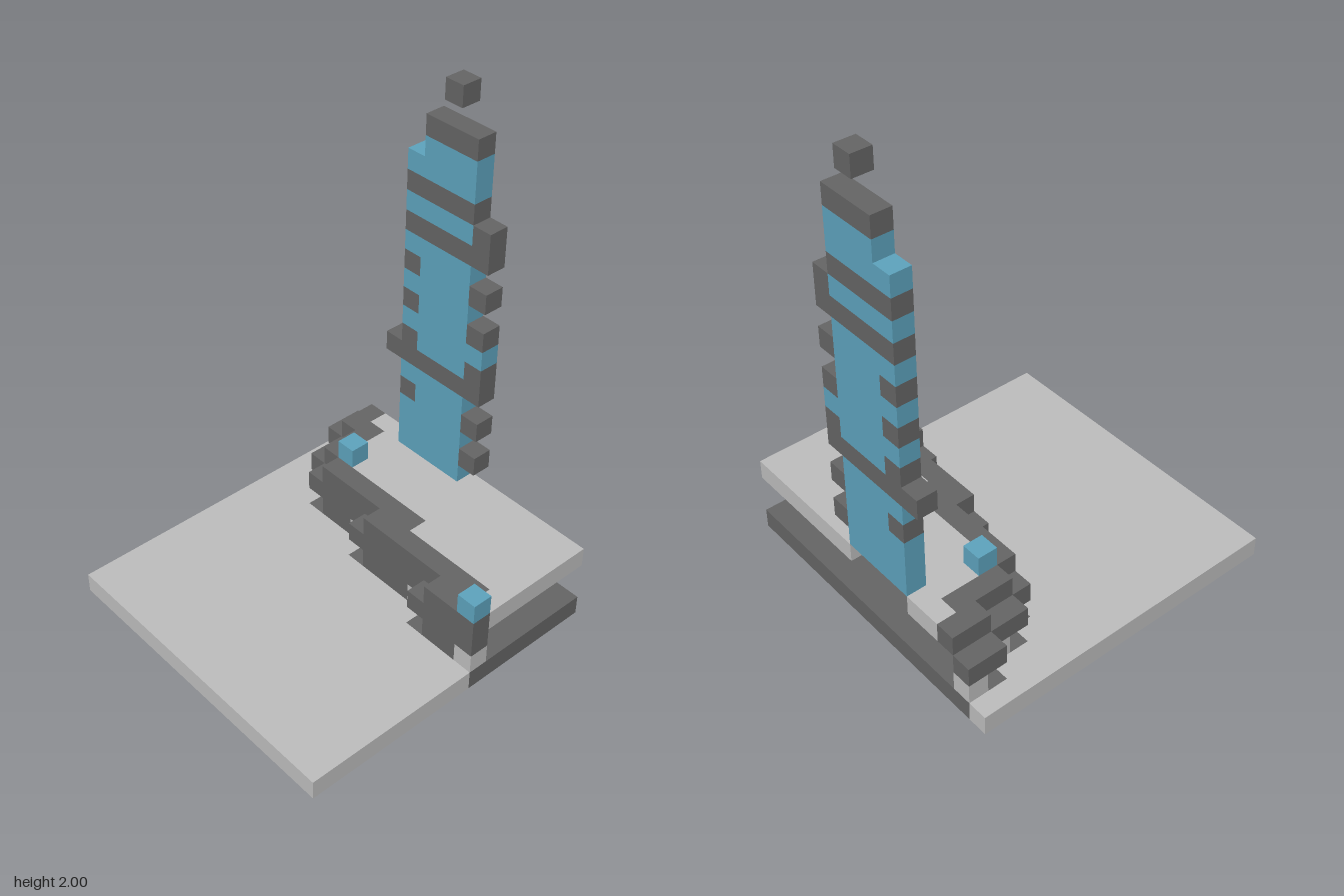
import * as THREE from 'three';

const U = 1 / 12; // size of one block

export function createModel() {
  const model = new THREE.Group();
  const light = new THREE.MeshStandardMaterial({ color: 0xbfbfbf });
  const dark = new THREE.MeshStandardMaterial({ color: 0x666666 });
  const blue = new THREE.MeshStandardMaterial({ color: 0x5ea4be });
  light.name = 'light grey';
  dark.name = 'dark grey';
  blue.name = 'blue';

  const part = (name) => {
    const g = new THREE.Group();
    g.name = name;
    model.add(g);
    return g;
  };
  // Box covering block columns x0..x1, layers y0..y1 and rows z0..z1
  const block = (group, name, mat, x0, x1, y0, y1, z0, z1) => {
    if (x1 <= x0) return;
    const geo = new THREE.BoxGeometry((x1 - x0) * U, (y1 - y0) * U, (z1 - z0) * U);
    const mesh = new THREE.Mesh(geo, mat);
    mesh.position.set(((x0 + x1) / 2 - 8) * U, ((y0 + y1) / 2) * U, ((z0 + z1) / 2 - 8) * U);
    mesh.name = name;
    group.add(mesh);
  };

  // Base slab: pale ground with a dark stepped floor at the back
  const base = part('base');
  block(base, 'ground', light, 0, 16, 0, 1, 7, 16);
  for (const [z0, z1, start] of [[0, 2, 1], [2, 4, 2], [4, 5, 3], [5, 6, 7], [6, 7, 12]]) {
    block(base, 'ground', light, 0, start, 0, 1, z0, z1);
    block(base, 'floor', dark, start, 16, 0, 1, z0, z1);
  }

  // Lower wall: dark piers and pale windows, stepping forward to the left
  const lower = part('lowerWall');
  for (const [mat, row, x0, x1] of [
    [light, 0, 1, 2], [dark, 1, 2, 3], [light, 2, 2, 3], [dark, 3, 3, 4],
    [dark, 4, 4, 6], [light, 4, 6, 8], [dark, 5, 8, 11], [light, 5, 11, 13],
    [dark, 6, 13, 15], [light, 6, 15, 16],
  ]) block(lower, mat === dark ? 'pier' : 'window', mat, x0, x1, 1, 2, row, row + 1);

  // Projecting middle course
  const course = part('middleCourse');
  for (const [z0, z1, x0, x1] of [[0, 2, 1, 2], [2, 4, 2, 3], [4, 5, 3, 8], [5, 6, 7, 13], [6, 7, 12, 16]])
    block(course, 'ledge', dark, x0, x1, 2, 3, z0, z1);

  // Roof: dark rim, then pale deck out to the right edge
  const roof = part('roof');
  for (const [z0, z1, x0, x1] of [[1, 2, 2, 4], [2, 4, 3, 4], [4, 5, 4, 10], [5, 6, 8, 15], [6, 7, 13, 16]]) {
    block(roof, 'rim', dark, x0, x1, 3, 4, z0, z1);
    block(roof, 'deck', light, x1, 16, 3, 4, z0, z1);
  }
  block(roof, 'rim', dark, 2, 3, 3, 4, 0, 1);
  block(roof, 'deck', light, 3, 5, 3, 4, 0, 1);
  block(roof, 'deck', light, 9, 16, 3, 4, 0, 1);

  // Blue blocks standing on the roof edge
  const lamps = part('roofBlocks');
  block(lamps, 'roofBlock', blue, 4, 5, 4, 5, 3, 4);
  block(lamps, 'roofBlock', blue, 15, 16, 4, 5, 6, 7);

  // Tower: one layer at a time, blue glass with dark bands and edge notches
  const tower = part('tower');
  const bands = [9, 16, 18];
  const notches = [7, 10, 12, 14];
  for (let y = 4; y < 21; y++) {
    if (bands.includes(y)) {
      block(tower, 'band', dark, 5, 9, y, y + 1, 0, 1);
    } else if (notches.includes(y)) {
      block(tower, 'notch', dark, 5, 6, y, y + 1, 0, 1);
      block(tower, 'glass', blue, 6, 9, y, y + 1, 0, 1);
    } else {
      block(tower, 'glass', blue, y === 20 ? 6 : 5, 9, y, y + 1, 0, 1);
    }
  }
  block(tower, 'crown', dark, 6, 9, 21, 22, 0, 1);
  block(tower, 'tip', dark, 7, 8, 23, 24, 0, 1);

  // Balconies on the tower sides
  for (const y of [5, 7, 9, 10, 12, 14, 16, 17]) block(tower, 'balcony', dark, 9, 10, y, y + 1, 0, 1);
  block(tower, 'balcony', blue, 9, 10, 11, 12, 0, 1);
  block(tower, 'balcony', dark, 4, 5, 9, 10, 0, 1);

  return model;
}
